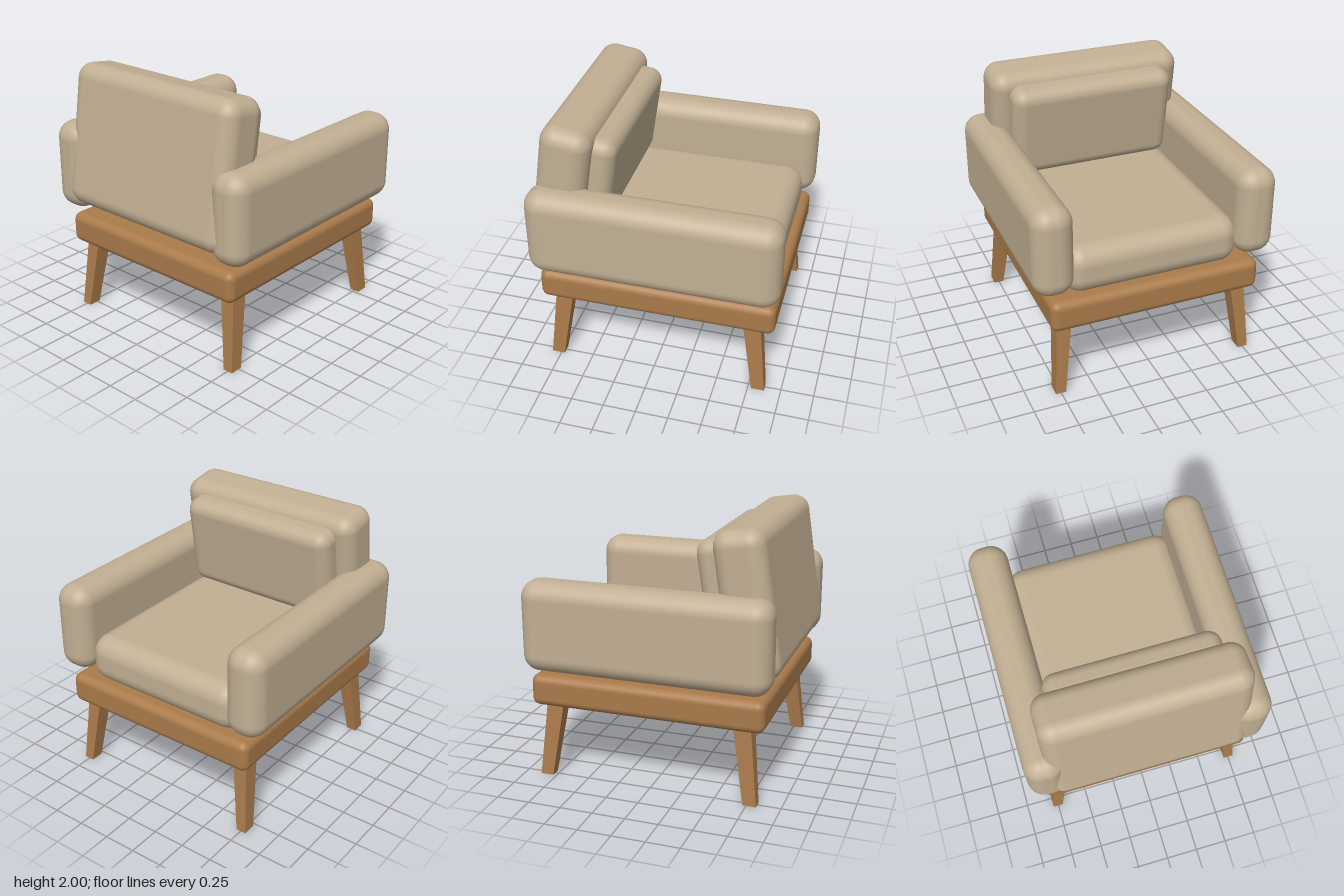
import * as THREE from 'three';
import { RoundedBoxGeometry } from 'three/addons/geometries/RoundedBoxGeometry.js';

export function createModel() {
  const fabric = new THREE.MeshStandardMaterial({ color: 0xc1af93 });
  fabric.name = 'beige fabric';
  const wood = new THREE.MeshStandardMaterial({ color: 0xaa7b4b });
  wood.name = 'warm wood';

  const chair = new THREE.Group();
  chair.name = 'armchair';

  // Soft-edged block: size, centre, edge radius and tilt
  function block(name, material, size, centre, radius, tilt = 0) {
    const mesh = new THREE.Mesh(new RoundedBoxGeometry(...size, 6, radius), material);
    mesh.name = name;
    mesh.position.set(...centre);
    mesh.rotation.x = tilt;
    chair.add(mesh);
  }

  // Wooden base and upholstery; the backrest side is +z
  block('baseFrame', wood, [1.63, 0.241, 1.795], [0, 0.6845, -0.027], 0.06);
  block('seatCushion', fabric, [1.355, 0.37, 1.495], [0, 0.97, -0.1275], 0.14);
  block('backrest', fabric, [1.54, 1.083, 0.379], [0, 1.4525, 0.698], 0.117, -0.15);
  block('backCushion', fabric, [1.3, 0.74, 0.25], [0, 1.52, 0.462], 0.1, -0.15);
  for (const side of [-1, 1]) {
    block(side > 0 ? 'leftArmrest' : 'rightArmrest', fabric,
      [0.304, 0.687, 1.876], [side * 0.776, 1.2015, -0.0145], 0.13);
  }

  // Tapered, splayed legs: a box whose ends are resized and shifted outward
  const top = { x: 0.694, z: 0.725, w: 0.114, d: 0.132, y: 0.58 };
  const foot = { x: 0.752, z: 0.8, w: 0.078, d: 0.1, y: 0 };
  for (const sx of [-1, 1]) {
    for (const sz of [-1, 1]) {
      const geometry = new THREE.BoxGeometry(1, 1, 1);
      const p = geometry.attributes.position;
      for (let i = 0; i < p.count; i++) {
        const end = p.getY(i) > 0 ? top : foot;
        p.setXYZ(i, sx * end.x + p.getX(i) * end.w, end.y, sz * end.z + p.getZ(i) * end.d);
      }
      geometry.computeVertexNormals();
      const leg = new THREE.Mesh(geometry, wood);
      leg.name = (sz > 0 ? 'back' : 'front') + (sx > 0 ? 'Left' : 'Right') + 'Leg';
      leg.position.z = -0.026;
      chair.add(leg);
    }
  }
  return chair;
}
